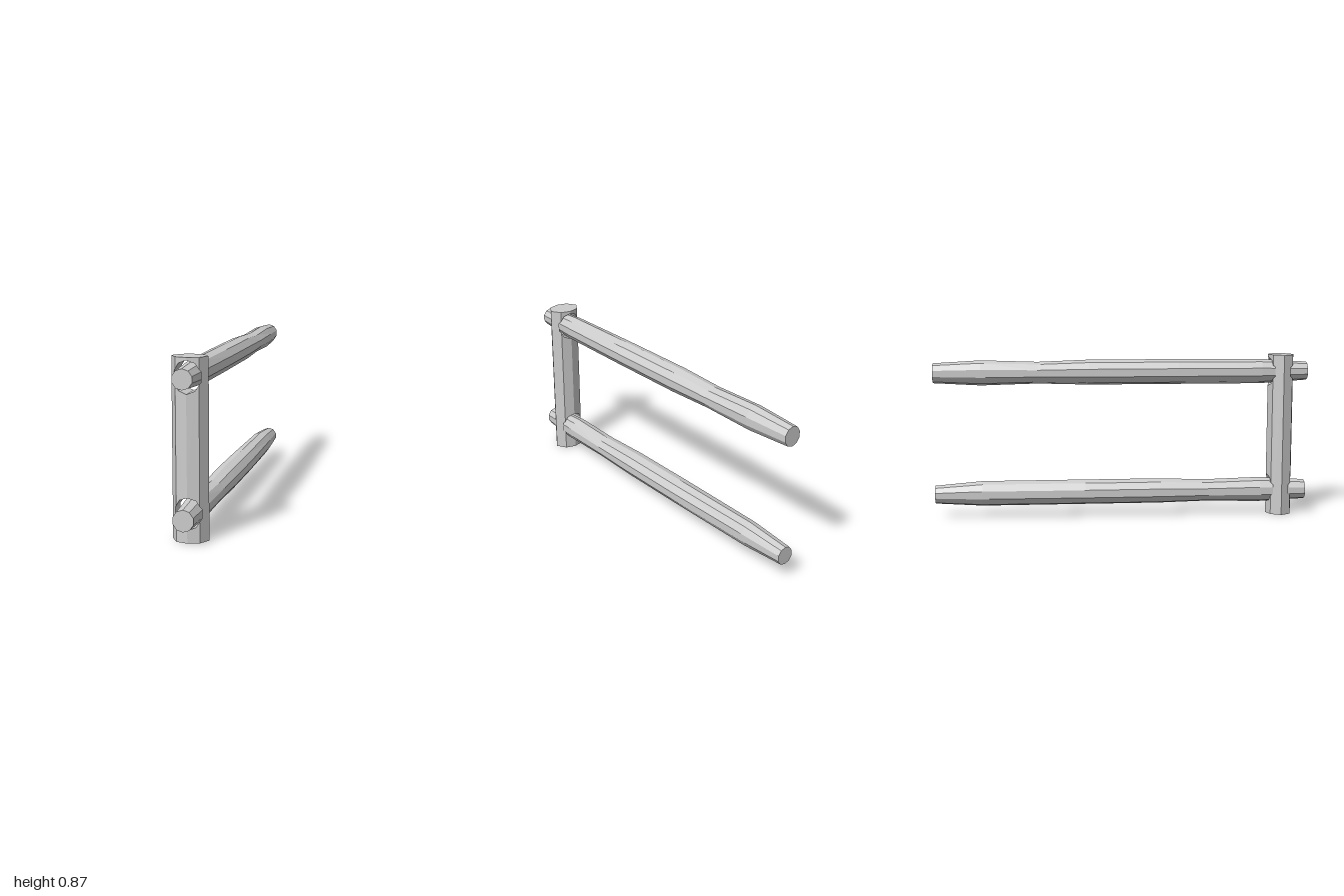
import * as THREE from 'three';

const grey = new THREE.MeshStandardMaterial({ color: 0xcccccc });
grey.name = 'plain grey';

const HEIGHT = 0.868, POST_Z = 0.86;
const HOLES = [0.139, 0.777], HOLE_RY = 0.078, HOLE_X = 0.063;
// half profiles as [x, value] pairs, mirrored about x = 0
const POST_DEPTH = [[0, 0.069], [0.056, 0.053], [0.088, 0]];
const HOLE_HALF = [[0, HOLE_RY], [0.039, 0.809 * HOLE_RY], [HOLE_X, 0.309 * HOLE_RY]];

function sample(profile, x) {
  const a = Math.abs(x);
  for (let i = 1; i < profile.length; i++) {
    const [x0, v0] = profile[i - 1], [x1, v1] = profile[i];
    if (a <= x1 + 1e-9) return v0 + (v1 - v0) * (a - x0) / (x1 - x0);
  }
  return profile[profile.length - 1][1];
}

// Oval eight-sided post with two ten-sided mortises, made in upright slices
function postGeometry() {
  const pos = [];
  const quad = (a, b, c, d) => pos.push(...a, ...b, ...c, ...a, ...c, ...d);
  const half = [0.039, 0.056, HOLE_X, 0.088];
  const xs = [...half.map(x => -x).reverse(), 0, ...half];
  for (let i = 0; i + 1 < xs.length; i++) {
    const ends = [xs[i], xs[i + 1]];
    const pierced = Math.abs(ends[0] + ends[1]) / 2 < HOLE_X;
    const [x0, x1] = ends;
    const [f0, f1] = ends.map(x => sample(POST_DEPTH, x));
    // heights of the solid bands at each edge of the slice
    const [y0, y1] = ends.map(x => {
      const g = sample(HOLE_HALF, x);
      return [0, ...(pierced ? HOLES.flatMap(c => [c - g, c + g]) : []), HEIGHT];
    });
    for (let k = 0; k < y0.length; k += 2) {
      const a = [x0, y0[k], f0], b = [x1, y1[k], f1];
      const c = [x1, y1[k + 1], f1], d = [x0, y0[k + 1], f0];
      const [A, B, C, D] = [a, b, c, d].map(([x, y, z]) => [x, y, -z]);
      quad(a, b, c, d); // front
      quad(B, A, D, C); // back
      quad(d, c, C, D); // top
      quad(A, B, b, a); // underside
    }
  }
  // upright side walls of the mortises
  const f = sample(POST_DEPTH, HOLE_X), g = 0.309 * HOLE_RY;
  for (const c of HOLES) {
    for (const s of [1, -1]) {
      const x = s * HOLE_X;
      quad([x, c - g, -s * f], [x, c - g, s * f], [x, c + g, s * f], [x, c + g, -s * f]);
      if (s < 0) continue;
    }
  }
  // the wall winding above faces +z-cross-y, which points into each mortise
  const geo = new THREE.BufferGeometry();
  geo.setAttribute('position', new THREE.Float32BufferAttribute(pos, 3));
  geo.computeVertexNormals();
  return geo;
}

// Ten-sided rail; stations are [z, half width, lowest y, highest y]
function railGeometry(stations) {
  const n = stations.length - 1;
  const geo = new THREE.CylinderGeometry(1, 1, 1, 10, n).rotateX(Math.PI / 2).toNonIndexed();
  const p = geo.attributes.position;
  for (let i = 0; i < p.count; i++) {
    const [z, w, lo, hi] = stations[Math.round((0.5 - p.getZ(i)) * n)];
    p.setXYZ(i, p.getX(i) * w / 0.951, (lo + hi) / 2 + p.getY(i) * (hi - lo) / 2, z);
  }
  geo.computeVertexNormals();
  return geo;
}

const TOP_RAIL = [
  [1, 0.047, 0.729, 0.827], [0.75, 0.06, 0.712, 0.843], [0.3, 0.067, 0.712, 0.845],
  [-0.18, 0.067, 0.712, 0.845], [-0.45, 0.061, 0.72, 0.835],
  [-0.75, 0.059, 0.712, 0.845], [-1, 0.046, 0.726, 0.831],
];
const BOTTOM_RAIL = [
  [1, 0.049, 0.074, 0.18], [0.75, 0.06, 0.062, 0.196], [0.45, 0.062, 0.069, 0.188],
  [0.2, 0.067, 0.063, 0.197], [-0.2, 0.067, 0.063, 0.197],
  [-0.75, 0.058, 0.063, 0.197], [-1, 0.045, 0.079, 0.176],
];

export function createModel() {
  const model = new THREE.Group();
  model.name = 'fenceSection';
  const add = (name, geo) => {
    const mesh = new THREE.Mesh(geo, grey);
    mesh.name = name;
    model.add(mesh);
    return mesh;
  };
  add('post', postGeometry()).position.z = POST_Z;
  add('topRail', railGeometry(TOP_RAIL));
  add('bottomRail', railGeometry(BOTTOM_RAIL));
  return model;
}
